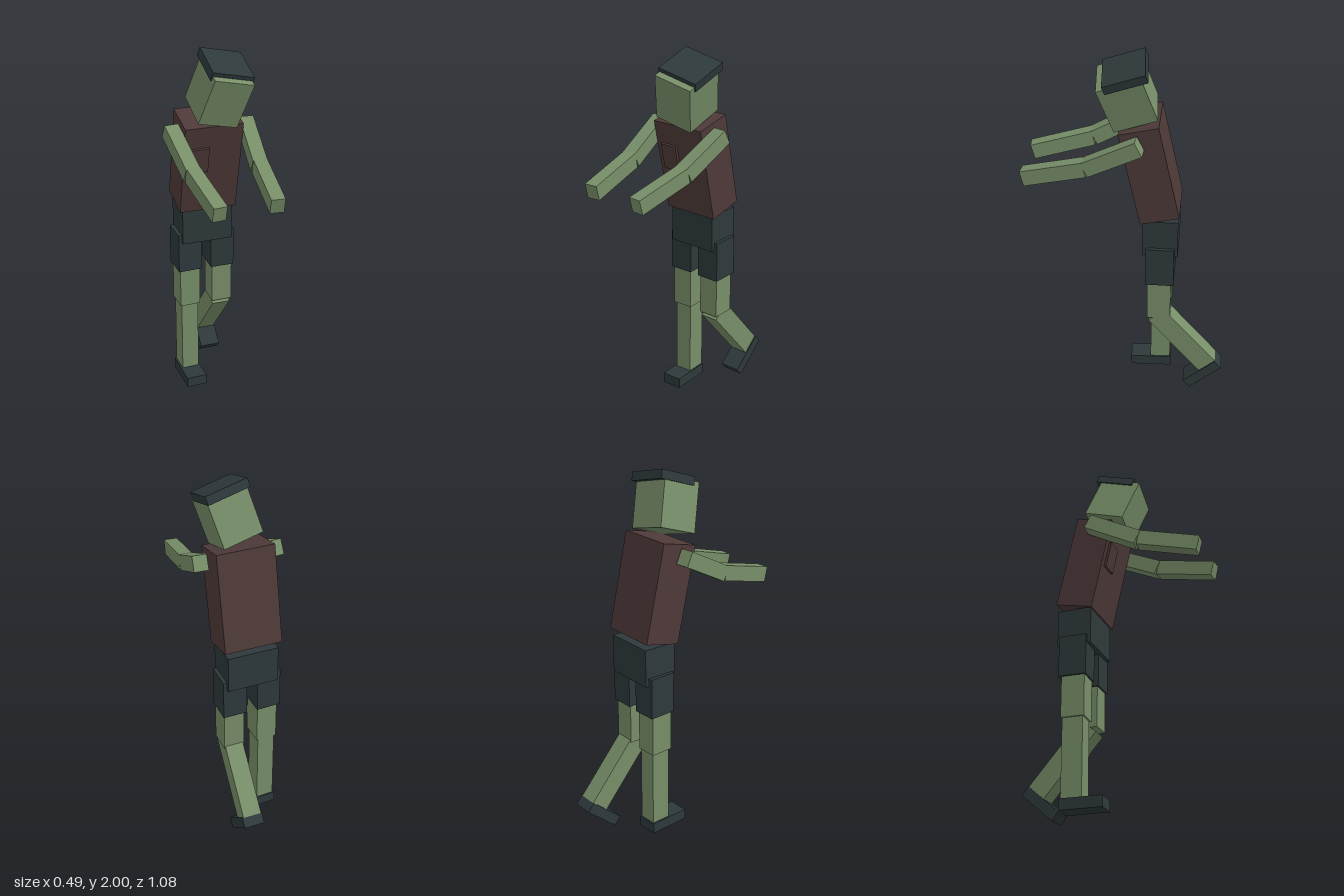
import * as THREE from 'three';

export function createModel() {
  const model = new THREE.Group();
  model.name = 'walkingFigure';

  const material = (name, color) => {
    const m = new THREE.MeshStandardMaterial({ color });
    m.name = name;
    return m;
  };
  const skin = material('greenSkin', 0x788f69);
  const shirt = material('brownShirt', 0x4e3a39);
  const dark = material('darkCloth', 0x2e393b);

  // Box with size, centre and rotation (yaw applied after pitch)
  function box(parent, name, mat, size, pos, pitch = 0, yaw = 0) {
    const mesh = new THREE.Mesh(new THREE.BoxGeometry(...size), mat);
    mesh.name = name;
    mesh.position.set(...pos);
    mesh.rotation.set(pitch, yaw, 0, 'YXZ');
    parent.add(mesh);
    return mesh;
  }

  // Torso leaning forward, with a chest pocket
  const torso = new THREE.Group();
  torso.name = 'torso';
  torso.position.set(-0.002, 1.38, -0.12);
  torso.rotation.x = 0.22;
  model.add(torso);
  box(torso, 'shirtBody', shirt, [0.315, 0.528, 0.21], [0, 0, 0]);
  box(torso, 'chestPocket', shirt, [0.1, 0.145, 0.018], [-0.073, 0.068, 0.11]);

  // Head tilted forward and to its left, with a flat cap of hair set back
  const head = new THREE.Group();
  head.name = 'head';
  head.position.set(0.034, 1.789, 0.002);
  head.rotation.set(0.32, 0, -0.24);
  model.add(head);
  box(head, 'face', skin, [0.22, 0.265, 0.235], [0, 0, 0]);
  box(head, 'hair', dark, [0.232, 0.047, 0.225], [0, 0.131, -0.033]);

  // Arms reaching forward and slightly inward
  for (const [side, s, yaw] of [['left', 1, -0.085], ['right', -1, 0.105]]) {
    box(model, side + 'UpperArm', skin, [0.077, 0.083, 0.31], [s * 0.193, 1.51, 0.065], 0.47, yaw);
    box(model, side + 'Forearm', skin, [0.073, 0.083, 0.335], [s > 0 ? 0.169 : -0.159, 1.4, 0.367], 0.245, yaw);
  }

  // Shorts: hip block
  box(model, 'hips', dark, [0.282, 0.207, 0.19], [-0.002, 1.004, -0.18]);

  // Thighs: short leg and bare knee section on each side
  for (const [side, x, yaw] of [['left', 0.092, 0], ['right', -0.098, 0.04]]) {
    box(model, side + 'ShortLeg', dark, [0.133, 0.226, 0.152], [x, 0.832, -0.182], 0, yaw);
    box(model, side + 'Thigh', skin, [0.115, 0.25, 0.128], [x + 0.001, 0.617, -0.18], 0, yaw);
  }

  // Standing right lower leg
  box(model, 'rightShin', skin, [0.098, 0.46, 0.113], [-0.097, 0.275, -0.182], 0, 0.04);
  box(model, 'rightShoe', dark, [0.115, 0.06, 0.232], [-0.096, 0.034, -0.128], 0, 0.04);

  // Trailing left lower leg, bent back at the knee
  box(model, 'leftShin', skin, [0.103, 0.447, 0.115], [0.093, 0.336, -0.315], 0.713);
  box(model, 'leftShoe', dark, [0.115, 0.058, 0.233], [0.094, 0.108, -0.434], 0.713);

  return model;
}
